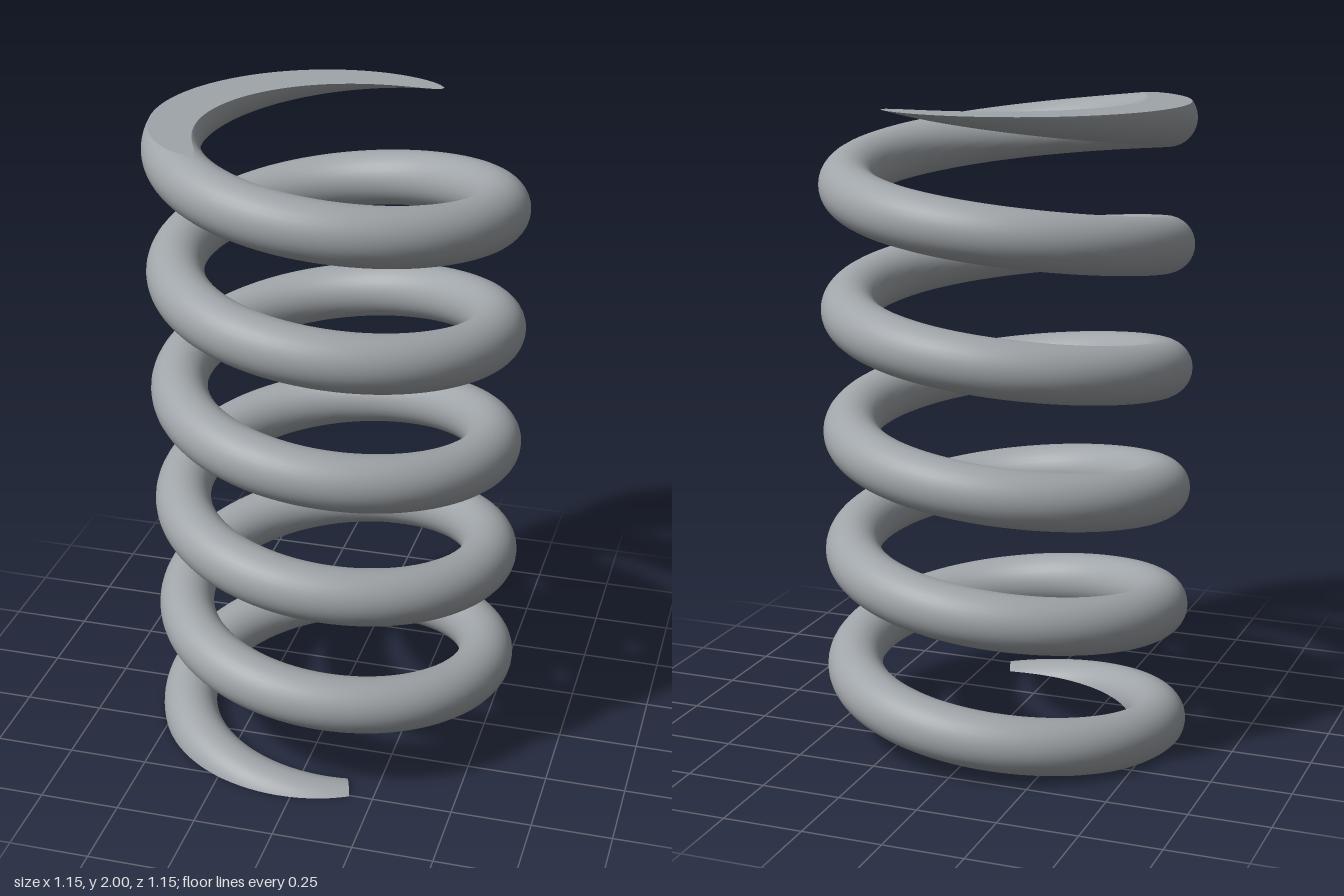
import * as THREE from 'three';

const COIL_R = 0.487, WIRE_R = 0.087, PITCH = 0.384, HEIGHT = 2;
const Y0 = 0.235;          // wire centre height at angle 0
const SIDES = 32;
const TAU = Math.PI * 2;

// Sweeps the wire from angle t0 to t1. Each round section is cut by the
// ground plane (top = false) or by the upper plane (top = true).
function coilHalf(t0, t1, top) {
  const pos = [], nor = [], idx = [];
  const rings = Math.ceil((t1 - t0) / TAU * 110);
  const cols = SIDES + 3;  // arc points, then two points of the ground flat
  const flatN = [0, top ? 1 : -1, 0];

  for (let i = 0; i <= rings; i++) {
    const t = t0 + (t1 - t0) * i / rings;
    const radial = new THREE.Vector3(Math.cos(t), 0, Math.sin(t));
    const tangent = new THREE.Vector3(-Math.sin(t), PITCH / TAU / COIL_R, Math.cos(t)).normalize();
    const up = tangent.clone().cross(radial);
    const centre = radial.clone().multiplyScalar(COIL_R).setY(Y0 + PITCH * t / TAU);

    const depth = top ? HEIGHT - centre.y : centre.y;
    const a = Math.asin(THREE.MathUtils.clamp(-depth / (WIRE_R * up.y), -1, 1));
    const ring = [];
    for (let j = 0; j <= SIDES; j++) {
      const phi = a + (Math.PI - 2 * a) * j / SIDES + (top ? Math.PI : 0);
      const n = radial.clone().multiplyScalar(Math.cos(phi)).addScaledVector(up, Math.sin(phi));
      const p = centre.clone().addScaledVector(n, WIRE_R);
      ring.push(p);
      pos.push(...p.toArray());
      nor.push(...n.toArray());
    }
    pos.push(...ring[SIDES].toArray(), ...ring[0].toArray());
    nor.push(...flatN, ...flatN);

    if (i === rings) continue;
    for (let j = 0; j < cols - 1; j++) {
      if (j === SIDES) continue;  // sharp edge between round and flat
      const p = i * cols + j, q = p + cols;
      idx.push(p, p + 1, q, p + 1, q + 1, q);
    }
  }

  // Thin cap on the tip of the wire
  const from = (top ? rings : 0) * cols;
  for (let j = 1; j < SIDES; j++) {
    if (top) idx.push(from, from + j, from + j + 1);
    else idx.push(from, from + j + 1, from + j);
  }

  const geo = new THREE.BufferGeometry();
  geo.setAttribute('position', new THREE.Float32BufferAttribute(pos, 3));
  geo.setAttribute('normal', new THREE.Float32BufferAttribute(nor, 3));
  geo.setIndex(idx);
  return geo;
}

export function createModel() {
  const group = new THREE.Group();
  group.name = 'coilSpring';
  const steel = new THREE.MeshStandardMaterial({ color: 0xa0a5a9 });
  steel.name = 'steel grey';

  const middle = 2 * TAU;
  const add = (name, geo) => {
    const mesh = new THREE.Mesh(geo, steel);
    mesh.name = name;
    group.add(mesh);
  };
  add('lowerCoils', coilHalf(-5.03, middle, false));
  add('upperCoils', coilHalf(middle, 4 * TAU + 5.15, true));
  return group;
}
